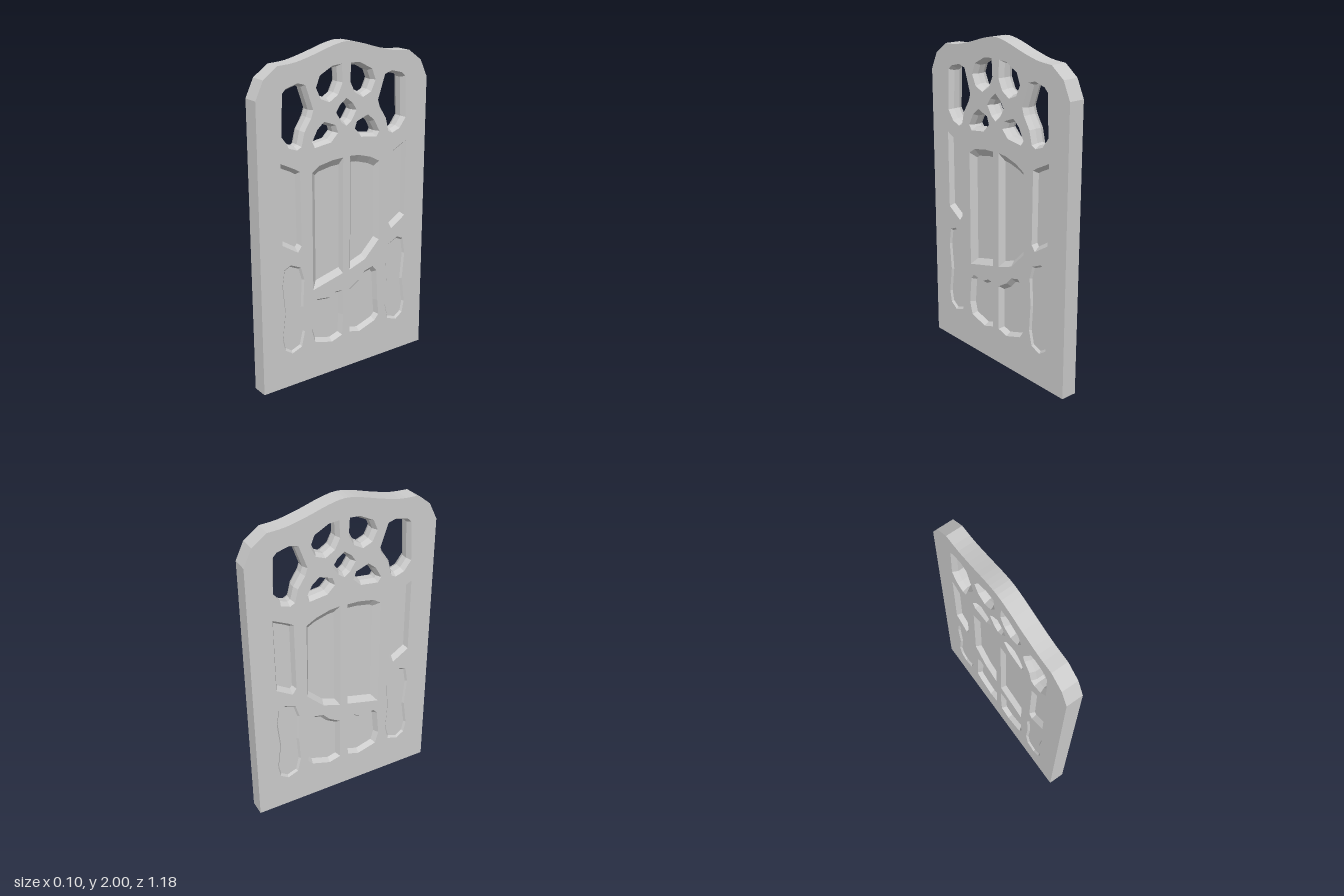
import * as THREE from 'three';

const HALF = 0.05; // half the slab thickness
const V = (pts) => pts.map(([s, y]) => new THREE.Vector2(s, y));
const mirror = (pts) => pts.map(([s, y]) => [-s, y]);
const ccw = (loop) => (THREE.ShapeUtils.area(loop) < 0 ? loop.slice().reverse() : loop);

// Move every edge inwards; side, top and bottom walls have their own widths
function inset(loop, { left = 0.02, right = 0.02, top = 0.02, bottom = 0.02 }) {
  const n = loop.length;
  const lines = loop.map((a, i) => {
    const e = loop[(i + 1) % n].clone().sub(a).normalize();
    const nx = -e.y, ny = e.x;
    const d = nx * nx * (nx > 0 ? left : right) + ny * ny * (ny > 0 ? bottom : top);
    return { nx, ny, d };
  });
  return loop.map((p, i) => {
    const a = lines[(i + n - 1) % n], b = lines[i];
    const det = a.nx * b.ny - a.ny * b.nx;
    if (Math.abs(det) < 0.2) {
      const d = (a.d + b.d) / 2;
      return new THREE.Vector2(p.x + (a.nx + b.nx) / 2 * d, p.y + (a.ny + b.ny) / 2 * d);
    }
    return new THREE.Vector2(
      p.x + (a.d * b.ny - b.d * a.ny) / det,
      p.y + (a.nx * b.d - b.nx * a.d) / det);
  });
}

// Strip of quads between two matching loops
function band(out, A, zA, B, zB) {
  A.forEach((a, i) => {
    const j = (i + 1) % A.length, a2 = A[j], b = B[i], b2 = B[j];
    out.push(a.x, a.y, zA, a2.x, a2.y, zA, b2.x, b2.y, zB);
    out.push(a.x, a.y, zA, b2.x, b2.y, zB, b.x, b.y, zB);
  });
}

// Flat faces at +z and -z
function caps(out, contour, holes, z) {
  const cw = holes.map((h) => h.slice().reverse());
  const all = [contour, ...cw].flat();
  for (const t of THREE.ShapeUtils.triangulateShape(contour, cw)) {
    for (const k of t) out.push(all[k].x, all[k].y, z);
    for (const k of [t[0], t[2], t[1]]) out.push(all[k].x, all[k].y, -z);
  }
}

export function createModel() {
  const group = new THREE.Group();
  group.name = 'carvedDoor';
  const material = new THREE.MeshStandardMaterial({ color: 0xcccccc, flatShading: true });

  const addMesh = (name, positions) => {
    const g = new THREE.BufferGeometry();
    g.setAttribute('position', new THREE.Float32BufferAttribute(positions, 3));
    g.rotateY(Math.PI / 2); // slab lies in the yz plane
    g.computeVertexNormals();
    const m = new THREE.Mesh(g, material);
    m.name = name;
    group.add(m);
  };

  // Door outline with a gently waved top
  const crest = new THREE.SplineCurve(V([
    [0.45, 1.91], [0.34, 1.918], [0.21, 1.95], [0.1, 1.983], [0, 2],
    [-0.1, 1.983], [-0.21, 1.95], [-0.34, 1.918], [-0.45, 1.91],
  ])).getPoints(24);
  const outline = [
    ...V([[-0.59, 0], [0.59, 0], [0.59, 1.74], [0.54, 1.845]]),
    ...crest,
    ...V([[-0.54, 1.845], [-0.59, 1.74]]),
  ];

  // Window openings
  const outerWindow = [[0.425, 1.76], [0.4, 1.785], [0.325, 1.805], [0.275, 1.79], [0.225, 1.645],
    [0.24, 1.6], [0.285, 1.53], [0.305, 1.45], [0.335, 1.435], [0.39, 1.455], [0.435, 1.515]];
  const upperWindow = [[0.032, 1.88], [0.095, 1.875], [0.18, 1.83], [0.206, 1.765], [0.175, 1.7],
    [0.116, 1.675], [0.058, 1.71], [0.026, 1.775]];
  const lowerWindow = [[0.153, 1.57], [0.074, 1.54], [0.058, 1.493], [0.106, 1.445], [0.217, 1.43],
    [0.238, 1.46], [0.2, 1.53]];
  const centreWindow = [[0, 1.685], [0.045, 1.65], [0.072, 1.608], [0.035, 1.55], [0, 1.525],
    [-0.035, 1.55], [-0.072, 1.608], [-0.045, 1.65]];

  // Sunken panels
  const sidePanel = [[0.444, 1.377], [0.35, 1.33], [0.318, 1.31], [0.314, 0.87], [0.34, 0.835], [0.442, 0.9]];
  const waistedPanel = [[0.434, 0.75], [0.39, 0.77], [0.323, 0.74], [0.3, 0.66], [0.31, 0.49], [0.3, 0.33],
    [0.323, 0.235], [0.39, 0.21], [0.44, 0.245], [0.455, 0.32], [0.434, 0.48], [0.45, 0.65]];
  const tallPanelA = [[-0.238, 1.29], [-0.19, 1.322], [-0.095, 1.34], [-0.022, 1.343], [-0.024, 0.63],
    [-0.238, 0.575]];
  const tallPanelB = [[0.026, 1.345], [0.09, 1.34], [0.175, 1.315], [0.24, 1.28], [0.245, 0.785],
    [0.21, 0.75], [0.14, 0.68], [0.026, 0.64]];
  const lowPanelA = [[-0.022, 0.52], [-0.075, 0.525], [-0.12, 0.5], [-0.21, 0.51], [-0.235, 0.48],
    [-0.25, 0.315], [-0.228, 0.235], [-0.106, 0.2], [-0.03, 0.225], [-0.022, 0.36]];
  const lowPanelB = [[0.026, 0.515], [0.1, 0.56], [0.14, 0.605], [0.2, 0.62], [0.23, 0.585], [0.24, 0.385],
    [0.25, 0.285], [0.22, 0.25], [0.1, 0.21], [0.026, 0.23]];

  const rim = { left: 0.016, right: 0.016, top: 0.016, bottom: 0.016 };
  const shallow = { left: 0.01, right: 0.01, top: 0.012, bottom: 0.014 };
  const cuts = [
    { name: 'centreWindow', pts: centreWindow, walls: rim },
    { name: 'tallPanelFront', pts: tallPanelA, walls: { left: 0.037, right: 0.012, top: 0.045, bottom: 0.035 }, depth: 0.03 },
    { name: 'tallPanelBack', pts: tallPanelB, walls: { left: 0.026, right: 0.02, top: 0.045, bottom: 0.03 }, depth: 0.03 },
    { name: 'lowPanelFront', pts: lowPanelA, walls: { left: 0.02, right: 0.015, top: 0.02, bottom: 0.02 }, depth: 0.03 },
    { name: 'lowPanelBack', pts: lowPanelB, walls: { left: 0.02, right: 0.015, top: 0.03, bottom: 0.02 }, depth: 0.03 },
  ];
  for (const [name, pts, walls, depth] of [
    ['outerWindow', outerWindow, rim],
    ['upperWindow', upperWindow, rim],
    ['lowerWindow', lowerWindow, rim],
    ['sidePanel', sidePanel, { left: 0.015, right: 0.015, top: 0.025, bottom: 0.025 }, 0.03],
    ['waistedPanel', waistedPanel, shallow, 0.012],
  ]) {
    cuts.push({ name: name + 'Back', pts, walls, depth });
    cuts.push({ name: name + 'Front', pts: mirror(pts), walls, depth });
  }

  // Slab faces and edge
  const loops = cuts.map((c) => ccw(V(c.pts)));
  const slab = [];
  caps(slab, outline, loops, HALF);
  band(slab, outline, -HALF, outline, HALF);
  addMesh('doorSlab', slab);

  // Sloped walls on both sides, then a floor or a straight passage
  cuts.forEach((c, i) => {
    const outer = loops[i], inner = inset(outer, c.walls), out = [];
    const z = HALF - (c.depth ?? 0.03);
    band(out, outer, HALF, inner, z);
    band(out, inner, -z, outer, -HALF);
    if (c.depth) caps(out, inner, [], z);
    else band(out, inner, z, inner, -z);
    addMesh(c.name, out);
  });
  return group;
}
